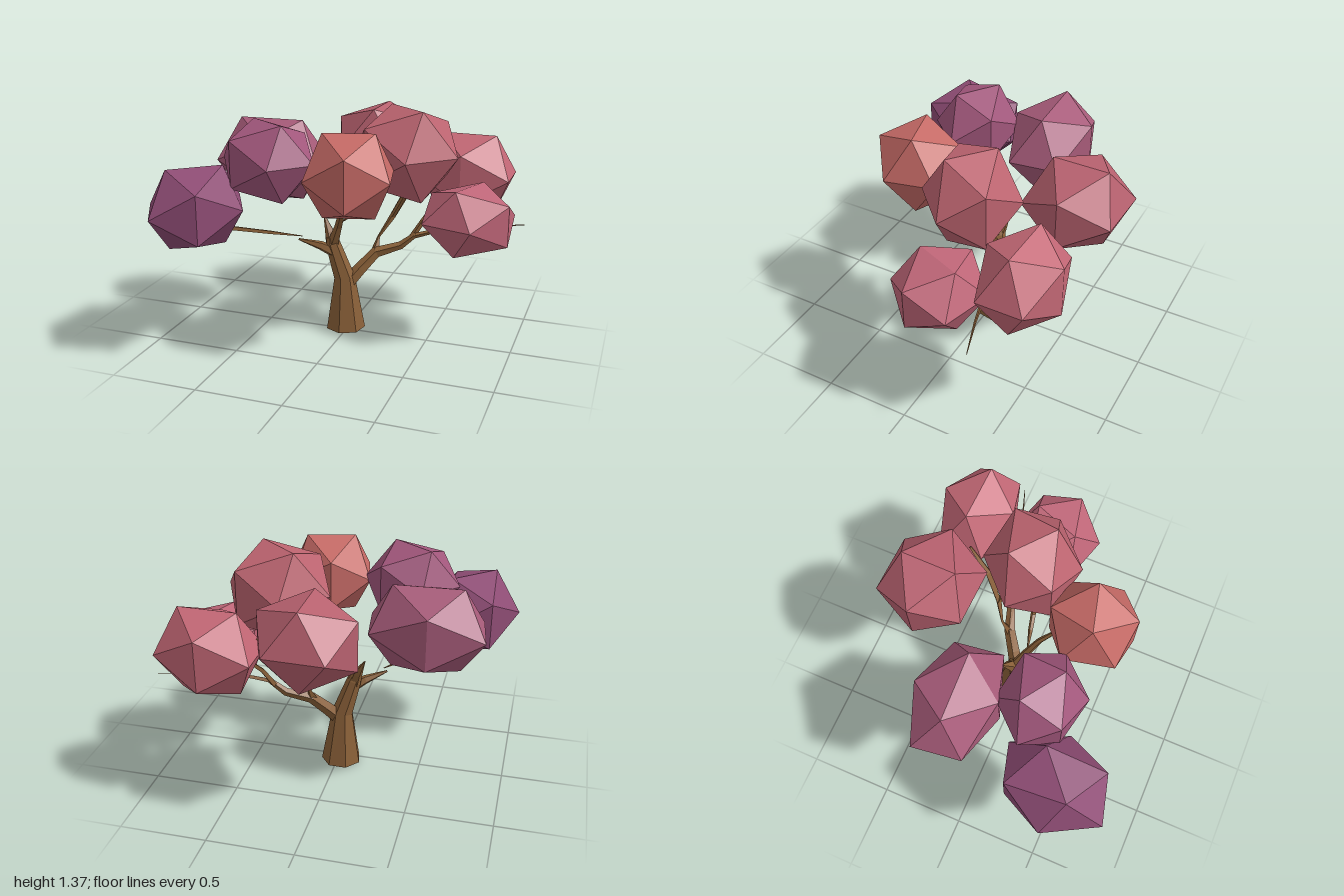
import * as THREE from 'three';

const bark = new THREE.MeshStandardMaterial({ color: 0x8a6038, flatShading: true });

// Tapered limb swept through points [x, y, z, radius]
function limb(name, pts, sides = 5) {
  const centres = pts.map(p => new THREE.Vector3(p[0], p[1], p[2]));
  const up = new THREE.Vector3(0, 1, 0);
  const pos = [], index = [];
  pts.forEach((p, i) => {
    const dir = centres[Math.min(i + 1, pts.length - 1)].clone()
      .sub(centres[Math.max(i - 1, 0)]).normalize();
    const q = new THREE.Quaternion().setFromUnitVectors(up, dir);
    for (let s = 0; s < sides; s++) {
      const a = (s / sides) * Math.PI * 2;
      const v = new THREE.Vector3(Math.sin(a) * p[3], 0, Math.cos(a) * p[3])
        .applyQuaternion(q).add(centres[i]);
      pos.push(v.x, Math.max(v.y, 0), v.z);
    }
  });
  for (let i = 0; i < pts.length - 1; i++) {
    for (let s = 0; s < sides; s++) {
      const a = i * sides + s, b = i * sides + (s + 1) % sides;
      index.push(a, b, b + sides, a, b + sides, a + sides);
    }
  }
  // end caps
  const last = (pts.length - 1) * sides;
  for (let s = 1; s < sides - 1; s++) {
    index.push(0, s + 1, s, last, last + s, last + s + 1);
  }
  const geo = new THREE.BufferGeometry();
  geo.setAttribute('position', new THREE.Float32BufferAttribute(pos, 3));
  geo.setIndex(index);
  geo.computeVertexNormals();
  const mesh = new THREE.Mesh(geo, bark);
  mesh.name = name;
  return mesh;
}

// Foliage clump: icosahedron stretched along u, up and w (u, w are [x, z] directions)
function clump(name, color, centre, u, h, w) {
  const geo = new THREE.IcosahedronGeometry(Math.hypot(1, (1 + Math.sqrt(5)) / 2), 0);
  geo.applyMatrix4(new THREE.Matrix4().makeBasis(
    new THREE.Vector3(u[0], 0, u[1]),
    new THREE.Vector3(0, h, 0),
    new THREE.Vector3(w[0], 0, w[1])));
  geo.computeVertexNormals();
  const mesh = new THREE.Mesh(geo, new THREE.MeshStandardMaterial({ color, flatShading: true }));
  mesh.position.set(...centre);
  mesh.name = name;
  return mesh;
}

export function createModel() {
  const tree = new THREE.Group();
  tree.name = 'tree';

  // Trunk and branches
  const wood = new THREE.Group();
  wood.name = 'wood';
  wood.add(
    limb('trunk', [[-0.02, 0, -0.04, 0.12], [-0.025, 0.33, -0.03, 0.064],
      [-0.09, 0.54, -0.01, 0.045], [-0.1, 0.58, -0.01, 0.03]], 7),
    limb('trunkSpike', [[-0.09, 0.52, -0.01, 0.04], [-0.115, 0.6, -0.03, 0.03], [-0.165, 0.7, -0.06, 0.003]]),
    limb('leftBranch', [[-0.08, 0.49, 0, 0.035], [-0.15, 0.53, 0.03, 0.028], [-0.27, 0.575, 0.085, 0.006]]),
    limb('leftTwig', [[-0.25, 0.595, 0.08, 0.003], [-0.4, 0.635, 0.19, 0.012], [-0.6, 0.7, 0.37, 0.015]], 4),
    limb('upperBranch', [[-0.09, 0.53, -0.01, 0.038], [-0.04, 0.66, 0.03, 0.024],
      [0.02, 0.82, 0.1, 0.017], [0.1, 1.0, 0.23, 0.008]]),
    limb('upperTwig', [[-0.01, 0.7, 0.04, 0.004], [0.08, 0.77, 0.02, 0.014],
      [0.17, 0.8, 0, 0.016], [0.24, 0.95, -0.03, 0.008]], 4),
    limb('rightBranch', [[-0.01, 0.28, -0.03, 0.045], [0.06, 0.37, -0.08, 0.04],
      [0.14, 0.465, -0.14, 0.035], [0.28, 0.51, -0.19, 0.025], [0.37, 0.585, -0.21, 0.016]]),
    limb('longTwig', [[0.36, 0.575, -0.2, 0.016], [0.52, 0.62, -0.25, 0.012],
      [0.75, 0.64, -0.32, 0.007], [0.98, 0.65, -0.4, 0.002]], 4),
    limb('outerBranch', [[0.34, 0.56, -0.21, 0.018], [0.4, 0.66, -0.24, 0.016], [0.48, 0.8, -0.36, 0.01]], 4),
    limb('backBranch', [[0.13, 0.45, -0.13, 0.03], [0.14, 0.55, -0.19, 0.008],
      [0.21, 0.67, -0.24, 0.018], [0.29, 0.84, -0.34, 0.022], [0.34, 0.98, -0.47, 0.008]], 4),
    limb('innerBranch', [[0.21, 0.67, -0.24, 0.016], [0.3, 0.83, -0.2, 0.016], [0.36, 0.95, -0.12, 0.008]], 4),
  );
  tree.add(wood);

  // Foliage, shifting from purple on the right-hand side to warm pink
  const foliage = new THREE.Group();
  foliage.name = 'foliage';
  foliage.add(
    clump('clumpBackRight', 0xa85c7a, [-0.53, 0.995, -0.15], [0.196, -0.009], 0.151, [0.019, 0.142]),
    clump('clumpFarRight', 0x8e4c74, [-0.715, 0.848, 0.5], [0.122, -0.105], 0.141, [0.083, 0.151]),
    clump('clumpFrontRight', 0xa2577c, [-0.37, 1.09, 0.275], [0.117, 0.08], 0.136, [-0.096, 0.105]),
    clump('clumpFront', 0xc66a66, [0.14, 1.065, 0.365], [0.139, -0.036], 0.146, [0.034, 0.145]),
    clump('clumpTop', 0xbd6470, [0.335, 1.11, -0.077], [0.117, 0.096], 0.161, [-0.12, 0.117]),
    clump('clumpLowLeft', 0xbf6678, [0.71, 0.75, -0.08], [-0.053, 0.136], 0.119, [-0.147, -0.043]),
    clump('clumpBackLeft', 0xc46876, [0.6, 0.905, -0.525], [0.17, 0.004], 0.151, [0, 0.133]),
    clump('clumpBack', 0xb8616f, [0.035, 1.05, -0.565], [0.002, -0.161], 0.143, [0.17, 0.006]),
  );
  tree.add(foliage);
  return tree;
}
